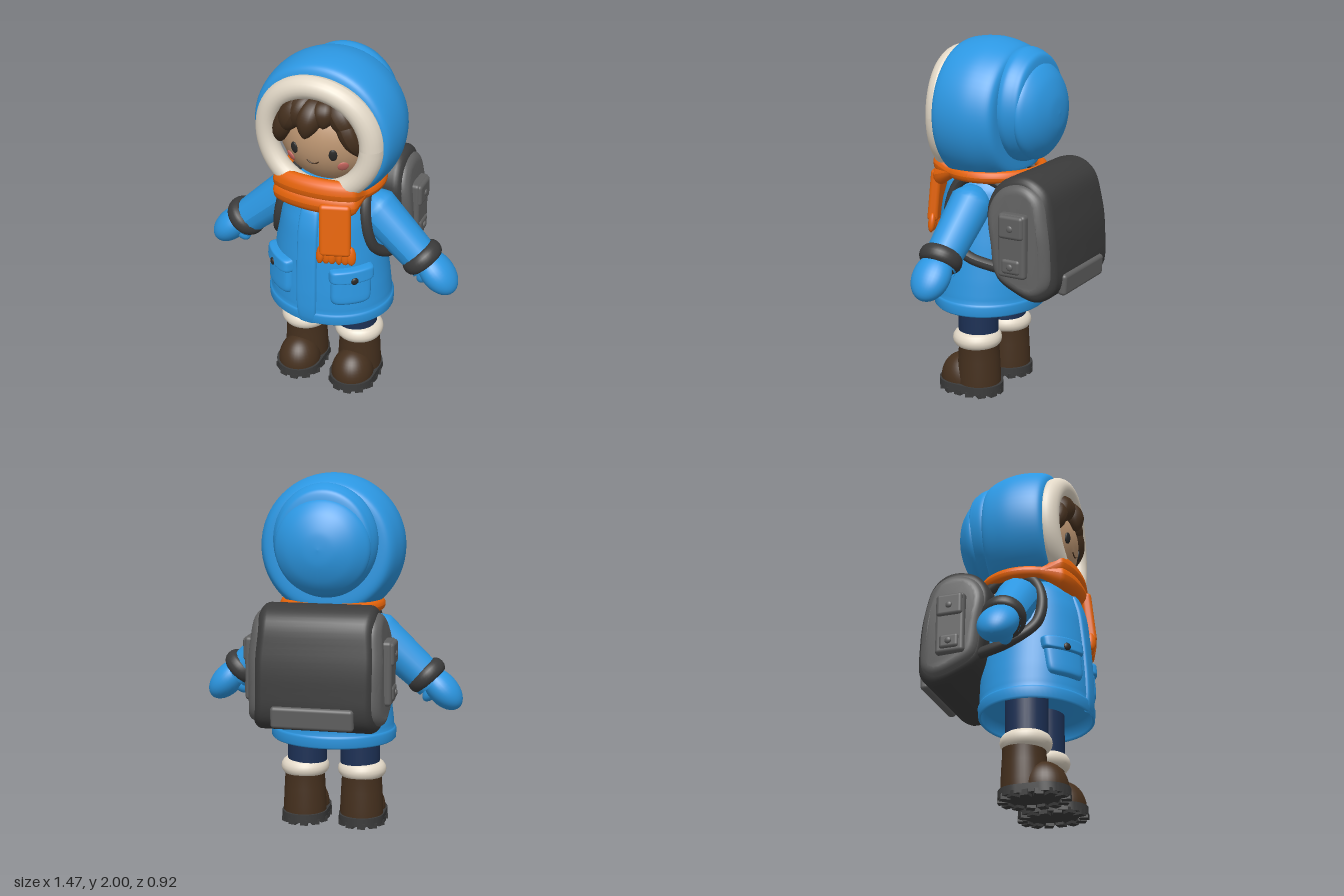
import * as THREE from 'three';
import { toCreasedNormals } from 'three/addons/utils/BufferGeometryUtils.js';
import { RoundedBoxGeometry } from 'three/addons/geometries/RoundedBoxGeometry.js';

const V = (x, y, z) => new THREE.Vector3(x, y, z);
const P = (x, y) => new THREE.Vector2(x, y);
const { smoothstep, lerp, clamp } = THREE.MathUtils;

function paint(name, color) {
  const m = new THREE.MeshStandardMaterial({ color });
  m.name = name;
  return m;
}

// Moves every vertex of a geometry by a rule(v, index, u, w)
function warp(geo, rule) {
  const p = geo.attributes.position, uv = geo.attributes.uv, v = V(0, 0, 0);
  for (let i = 0; i < p.count; i++) {
    v.fromBufferAttribute(p, i);
    rule(v, i, uv.getX(i), uv.getY(i));
    p.setXYZ(i, v.x, v.y, v.z);
  }
  geo.computeVertexNormals();
  return geo;
}

// Tube whose radius follows radius(t)
function taperedTube(curve, radius, seg = 20, sides = 16) {
  return warp(new THREE.TubeGeometry(curve, seg, 1, sides), (v, i) => {
    const t = Math.floor(i / (sides + 1)) / seg, c = curve.getPointAt(t);
    v.sub(c).multiplyScalar(radius(t)).add(c);
  });
}

// Coat surface: half width by height, depth ratio, and a point on it
const COAT = [[0.5, 0.352], [0.6, 0.345], [0.7, 0.333], [0.9, 0.303], [1.1, 0.268], [1.2, 0.24], [1.27, 0.19], [1.3, 0]];
function coatWidth(y) {
  let i = 0;
  while (i < COAT.length - 2 && y > COAT[i + 1][0]) i++;
  const [a, b] = [COAT[i], COAT[i + 1]];
  return lerp(a[1], b[1], clamp((y - a[0]) / (b[0] - a[0]), 0, 1));
}
const coatDepth = y => lerp(0.86, 1, clamp((y - 0.5) / 0.55, 0, 1));
function onCoat(arc, y, lift) {
  const w = coatWidth(y), a = arc / w, r = w + lift;
  return V(r * Math.sin(a), y, 0.14 + coatDepth(y) * r * Math.cos(a));
}
// Padded panel with rounded corners lying on the coat
function coatPanel(arc, y, halfW, halfH, lift) {
  return warp(new THREE.PlaneGeometry(2, 2, 32, 32), v => {
    const n = Math.pow(v.x ** 6 + v.y ** 6, 1 / 6);
    const d = Math.max(lift * (1 - n ** 12), -0.01);
    v.copy(onCoat(arc + v.x * halfW, y + v.y * halfH, d));
  });
}

const faceZ = (x, y) => 0.1 + 0.285 * Math.sqrt(Math.max(0, 1 - (x / 0.29) ** 2 - ((y - 1.57) / 0.29) ** 2));

export function createModel() {
  const root = new THREE.Group();
  root.name = 'child in winter coat';
  const blue = paint('coat blue', 0x2c97e2), cream = paint('fur cream', 0xe3d9c8), orange = paint('scarf orange', 0xe6640a);
  const skin = paint('skin', 0xbd9672), brown = paint('brown', 0x45301e), navy = paint('trouser navy', 0x1d3156);
  const charcoal = paint('charcoal', 0x3b3b3b), grey = paint('pack grey', 0x606060);
  const blush = paint('blush', 0xcc6a62), dark = paint('eye dark', 0x2a2928);

  const add = (name, geo, mat, x = 0, y = 0, z = 0) => {
    const m = new THREE.Mesh(geo, mat);
    m.name = name;
    m.position.set(x, y, z);
    root.add(m);
    return m;
  };
  // Ellipsoid whose given axis points along dir
  const blob = (name, mat, c, r, axis, dir) => {
    const m = add(name, new THREE.SphereGeometry(1, 32, 20), mat, ...c);
    m.scale.set(...r);
    if (dir) m.quaternion.setFromUnitVectors(axis, dir.clone().normalize());
    return m;
  };
  const X = V(1, 0, 0), Y = V(0, 1, 0), Z = V(0, 0, 1);

  // Hood: three overlapping shells turned around z, flattened at the neck
  const hoodShell = (name, pts, cy, widen) => {
    const curve = new THREE.SplineCurve(pts.map(p => P(...p)));
    const geo = new THREE.LatheGeometry(curve.getPoints(40), 64).rotateX(Math.PI / 2).translate(0, cy, 0);
    add(name, warp(geo, v => {
      v.x *= widen;
      if (v.y < 1.29) v.y = 1.29 + (v.y - 1.29) * 0.2;
    }), blue);
  };
  hoodShell('hood', [[0.26, -0.075], [0.33, -0.07], [0.365, -0.04], [0.39, 0.03], [0.402, 0.1], [0.4, 0.18], [0.387, 0.25], [0.365, 0.285], [0.32, 0.3]], 1.6, 1);
  hoodShell('hoodBackBand', [[0.2, -0.19], [0.265, -0.178], [0.29, -0.15], [0.308, -0.11], [0.31, -0.08], [0.3, -0.04]], 1.65, 0.93);
  hoodShell('hoodBackDome', [[0, -0.292], [0.09, -0.283], [0.18, -0.25], [0.24, -0.205], [0.262, -0.17], [0.25, -0.14]], 1.62, 1);
  add('hoodFur', warp(new THREE.TorusGeometry(0.297, 0.061, 20, 64), v => { v.z -= 0.28 * v.x * v.x; }), cream, 0, 1.588, 0.328);

  // Head and face
  blob('head', skin, [0, 1.57, 0.1], [0.29, 0.29, 0.285]);
  for (const s of [1, -1]) {
    const spot = (name, mat, x, y, r) => {
      const z = faceZ(x, y);
      blob(name, mat, [x, y, z], r, Z, V(x / 0.084, (y - 1.57) / 0.084, (z - 0.1) / 0.081));
    };
    spot('eye', dark, s * 0.109, 1.538, [0.022, 0.034, 0.01]);
    spot('cheek', blush, s * 0.148, 1.462, [0.03, 0.031, 0.009]);
  }
  add('mouth', new THREE.TorusGeometry(0.042, 0.0035, 8, 20, 1.8), brown, 0, 1.514, faceZ(0, 1.475) + 0.001).rotation.z = -Math.PI / 2 - 0.9;

  // Hair: cap plus tapered fringe locks [startX, startY, tipX, tipY, radius]
  const cap = add('hairCap', new THREE.SphereGeometry(1, 40, 20, 0, Math.PI * 2, 0, 1.12), brown, 0, 1.57, 0.1);
  cap.scale.set(0.305, 0.305, 0.315);
  cap.rotation.x = -0.12;
  for (const [x0, y0, x1, y1, r] of [
    [-0.1, 1.79, -0.24, 1.5, 0.055], [-0.06, 1.8, -0.18, 1.61, 0.072], [-0.03, 1.81, -0.11, 1.66, 0.07],
    [0, 1.8, -0.035, 1.62, 0.07], [0.03, 1.8, 0.06, 1.685, 0.068], [0.06, 1.8, 0.2, 1.63, 0.07], [0.1, 1.79, 0.245, 1.5, 0.055]]) {
    const pts = [0, 0.33, 0.66, 1].map(t => {
      const x = lerp(x0, x1, t), y = lerp(y0, y1, t) + 0.03 * Math.sin(t * Math.PI);
      return V(x, y, faceZ(x, y) + 0.022);
    });
    add('hairLock', taperedTube(new THREE.CatmullRomCurve3(pts), t => r * Math.pow(Math.sin(Math.PI * (0.15 + 0.85 * t)), 0.7)), brown);
  }

  // Coat with thick hem and closed lining
  const profile = [P(0, 0.6), P(0.325, 0.585), P(0.338, 0.515), P(0.348, 0.503), P(0.358, 0.513), P(0.358, 0.56), P(0.352, 0.572), P(0.346, 0.576)];
  for (let y = 0.6; y < 1.301; y += 0.025) profile.push(P(Math.max(coatWidth(y), 0.0001), y));
  add('coat', warp(new THREE.LatheGeometry(profile, 72), v => { v.z = 0.14 + v.z * coatDepth(v.y); }), blue);
  add('coatPlacket', coatPanel(-0.018, 0.86, 0.06, 0.36, 0.016), blue);
  for (const s of [1, -1]) {
    add('pocket', coatPanel(s * 0.238, 0.75, 0.12, 0.105, 0.025), blue);
    add('pocketFlap', coatPanel(s * 0.238, 0.828, 0.13, 0.043, 0.042), blue);
    const b = onCoat(s * 0.238, 0.808, 0.042);
    blob('pocketButton', dark, b.toArray(), [0.021, 0.021, 0.01], Z, V(b.x, 0, b.z - 0.14));
  }

  // Scarf: loops that swell and flatten at the front, a hanging tail and fringe
  const scarfLoop = (name, yFront, hFront, push) => add(name, warp(new THREE.TorusGeometry(1, 0.5, 16, 120), (v, i, u, w) => {
    const a = u * Math.PI * 2, b = w * Math.PI * 2, s = -Math.sin(a), f = smoothstep(s, 0.5, 0.66);
    const t = lerp(0.03, 0.048, f) * Math.cos(b);
    const reach = lerp(s, Math.pow(Math.abs(s), 0.35), f);
    v.set((0.265 + t) * Math.cos(a), lerp(1.28, yFront, f) + lerp(0.034, hFront, f) * Math.sin(b), 0.11 + 0.26 * reach + push * f + t * s);
  }), orange);
  scarfLoop('scarfUpperLoop', 1.322, 0.065, 0);
  scarfLoop('scarfLowerLoop', 1.25, 0.06, 0.004);
  const tail = add('scarfTail', new RoundedBoxGeometry(0.168, 0.3, 0.06, 4, 0.022), orange, 0.138, 1.12, 0.405);
  tail.rotation.set(-0.1, 0.28, 0.04);
  for (let i = 0; i < 6; i++)
    blob('scarfFringe', orange, [0.066 + i * 0.0315, 0.968, 0.437 - i * 0.009], [0.02, 0.056, 0.028], Y, V((i - 2.5) * 0.05, -1, 0.06));

  for (const s of [1, -1]) {
    // Arm, cuff and mitten
    const dir = V(s * 0.68, -0.73, 0);
    const arm = new THREE.LineCurve3(V(s * 0.17, 1.2, 0.11), V(s * 0.56, 0.845, 0.13));
    add('sleeve', taperedTube(arm, t => lerp(0.124, 0.098, t) * Math.sqrt(Math.min(1, t * 5))), blue);
    const cuff = add('cuff', new THREE.TorusGeometry(0.086, 0.033, 16, 40), charcoal, s * 0.53, 0.885, 0.13);
    cuff.quaternion.setFromUnitVectors(Z, dir.clone().normalize());
    cuff.scale.z = 1.4;
    blob('mitten', blue, [s * 0.622, 0.81, 0.13], [0.085, 0.14, 0.108], Y, dir);
    blob('thumb', blue, [s * 0.565, 0.8, 0.14], [0.04, 0.08, 0.05], Y, V(-s * 0.58, -0.81, 0));

    // Leg and boot
    const x = s * 0.167;
    add('trouserLeg', new THREE.CylinderGeometry(0.116, 0.112, 0.3, 32), navy, s * 0.155, 0.46, 0.132);
    add('bootFur', new THREE.TorusGeometry(0.09, 0.049, 16, 40), cream, x, 0.322, 0.132).rotation.x = Math.PI / 2;
    const shaft = [[0.124, 0.05], [0.124, 0.1], [0.119, 0.2], [0.115, 0.27], [0.118, 0.32]].map(p => P(...p));
    add('bootShaft', new THREE.LatheGeometry(shaft, 40), brown, x, 0, 0.122);
    const toe = add('bootToe', new THREE.SphereGeometry(1, 32, 12, 0, Math.PI * 2, 0, Math.PI / 2), brown, x, 0.06, 0.228);
    toe.scale.set(0.12, 0.148, 0.13);
    const outline = new THREE.Shape();
    outline.absarc(0, -0.114, 0.13, 0, Math.PI);
    outline.absarc(0, -0.236, 0.13, Math.PI, Math.PI * 2);
    outline.closePath();
    const sole = new THREE.ExtrudeGeometry(outline, { depth: 0.047, bevelEnabled: false, curveSegments: 20 });
    add('bootSole', toCreasedNormals(sole.rotateX(-Math.PI / 2), 0.6), charcoal, x, 0.015, 0);
    outline.getSpacedPoints(14).slice(0, 14).forEach(p => {
      const lug = add('soleLug', new THREE.BoxGeometry(0.045, 0.03, 0.05), charcoal, x + p.x * 0.82, 0.015, 0.175 + (-p.y - 0.175) * 0.87);
      lug.rotation.y = Math.atan2(p.x, -p.y - 0.175);
    });

    // Shoulder strap
    const strap = new THREE.CatmullRomCurve3([V(s * 0.2, 1.2, -0.12), V(s * 0.215, 1.27, 0.04), V(s * 0.225, 1.24, 0.19),
      V(s * 0.25, 1.1, 0.25), V(s * 0.28, 0.95, 0.225), V(s * 0.32, 0.85, 0.1), V(s * 0.3, 0.8, -0.12)]);
    add('packStrap', taperedTube(strap, () => 0.031, 48, 12), charcoal);
  }

  // Backpack: side profile extruded across x, narrowing to the top and back
  const outline = [[0.03, 1.17], [0.11, 1.29], [0.25, 1.325], [0.365, 1.26], [0.412, 1.1], [0.435, 0.9], [0.425, 0.72], [0.34, 0.652], [0.2, 0.685], [0.085, 0.76], [0.048, 0.95]];
  const packSolid = (halfW, scale, bevel) => {
    const curve = new THREE.CatmullRomCurve3(outline.map(([u, y]) => V(0.235 + (u - 0.235) * scale, 0.99 + (y - 0.99) * scale, 0)), true);
    const shape = new THREE.Shape(curve.getPoints(64).slice(0, 64).map(p => P(p.x, p.y)));
    const depth = 2 * (halfW - bevel);
    const geo = new THREE.ExtrudeGeometry(shape, { depth, bevelThickness: bevel, bevelSize: bevel, bevelOffset: -bevel, bevelSegments: 6 });
    geo.translate(0, 0, -depth / 2).rotateY(Math.PI / 2);
    warp(geo, v => { v.x *= 1 - 0.1 * smoothstep(v.y, 1, 1.35) - 0.09 * smoothstep(-v.z, 0.28, 0.45); });
    return toCreasedNormals(geo, 0.7);
  };
  add('packBody', packSolid(0.35, 1, 0.05), charcoal);
  add('packSidePanels', packSolid(0.38, 0.89, 0.045), grey);
  add('packBasePlate', new RoundedBoxGeometry(0.45, 0.12, 0.05, 4, 0.02), grey, 0, 0.742, -0.432).rotation.x = -0.06;
  for (const s of [1, -1]) {
    add('packSidePocket', new RoundedBoxGeometry(0.08, 0.35, 0.165, 4, 0.02), grey, s * 0.362, 0.97, -0.222);
    add('packPocketFlap', new RoundedBoxGeometry(0.08, 0.13, 0.15, 4, 0.02), grey, s * 0.374, 1.075, -0.222);
    add('packPocketTab', new RoundedBoxGeometry(0.08, 0.085, 0.115, 4, 0.02), grey, s * 0.372, 0.86, -0.222);
    for (const y of [1.07, 0.86]) blob('packButton', grey, [s * 0.413, y, -0.222], [0.01, 0.019, 0.019], X);
  }
  return root;
}
